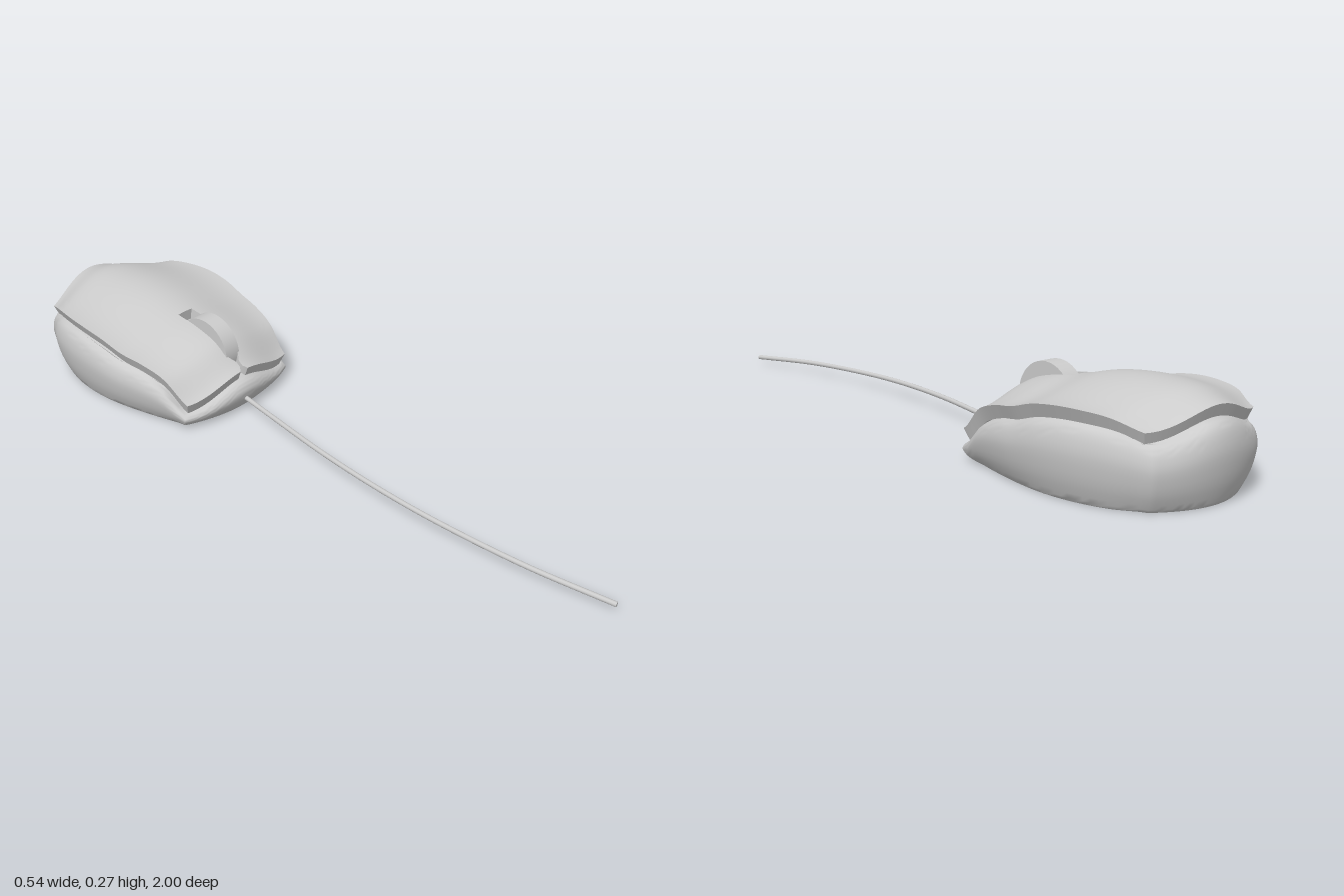
import * as THREE from 'three';
import { mergeGeometries, toCreasedNormals } from 'three/addons/utils/BufferGeometryUtils.js';

const material = new THREE.MeshStandardMaterial({ color: 0xcccccc });
const lerp = THREE.MathUtils.lerp;

// Smooth function of v (0 = front, 1 = rear) through evenly spaced values
function profile(values) {
  const curve = new THREE.SplineCurve(values.map((y, i) => new THREE.Vector2(i / (values.length - 1), y)));
  return v => curve.getPoint(v).y;
}

const ridge = profile([0.13, 0.195, 0.222, 0.235, 0.256, 0.266, 0.267, 0.26, 0.235]);
const bodyWidth = profile([0.207, 0.228, 0.247, 0.262, 0.271, 0.27, 0.258, 0.232, 0.185]);
const shellWidth = profile([0.2, 0.217, 0.232, 0.244, 0.25, 0.25, 0.241, 0.222, 0.19]);

// Bell-shaped cross-section that falls from the ridge to both sides
const height = (u, v) => ridge(v) - 0.0225 * (1 - Math.cos(Math.PI * u));
const bodyZ = (u, v) => lerp(-0.28 - 0.05 * u * u, -1 + 0.065 * u * u, v);
const shellZ = (u, v) => lerp(-0.295 - 0.03 * u * u, -0.965 + 0.05 * u * u, v);

const MID = -0.64;
const shrink = (p, sx, sz, dy) => [p[0] * sx, p[1] + dy, MID + (p[2] - MID) * sz];

function fromTriangles(positions) {
  const g = new THREE.BufferGeometry();
  g.setAttribute('position', new THREE.Float32BufferAttribute(positions, 3));
  return g;
}
const quad = (out, a, b, c, d) => out.push(...a, ...b, ...c, ...a, ...c, ...d);

// Lower body: rings of the outline stacked from the base to the rim, then closed under the shell
function bodyGeometry() {
  const border = [], n = 28;
  for (let i = 0; i < n; i++) border.push([1, i / n]);
  for (let i = 0; i < n; i++) border.push([1 - 2 * i / n, 1]);
  for (let i = 0; i < n; i++) border.push([-1, 1 - i / n]);
  for (let i = 0; i < n; i++) border.push([-1 + 2 * i / n, 0]);

  const ring = (t, inset) => border.map(([u, v]) => {
    const p = [u * bodyWidth(v), t * (height(u, v) - 0.03), bodyZ(u, v)];
    return shrink(p, 1 - inset / 0.27, 1 - inset / 0.36, 0);
  });
  const capRing = s => border.map(([u, v]) => {
    const cu = u * s, cv = 0.5 + (v - 0.5) * s;
    return [cu * bodyWidth(cv), height(cu, cv) - 0.045, bodyZ(cu, cv)];
  });

  const section = new THREE.SplineCurve([
    [0, 0.034], [0.05, 0.028], [0.3, 0.01], [0.6, 0], [0.8, 0.003], [0.93, 0.012], [1, 0.025],
  ].map(p => new THREE.Vector2(...p)));
  const rings = [border.map(() => [0, 0, MID])];
  for (const p of section.getPoints(18)) rings.push(ring(p.x, p.y));
  for (const s of [0.86, 0.6, 0.3, 0]) rings.push(capRing(s));

  const out = [];
  for (let k = 0; k < rings.length - 1; k++) {
    for (let i = 0; i < border.length; i++) {
      const j = (i + 1) % border.length;
      quad(out, rings[k][i], rings[k][j], rings[k + 1][j], rings[k + 1][i]);
    }
  }
  return toCreasedNormals(fromTriangles(out), 0.6);
}

// Closed slab of the shell between two edges, rows j0 to ROWS
const ROWS = 50;
function slab(xLow, xHigh, j0, columns) {
  const top = [], bottom = [], out = [];
  for (let i = 0; i <= columns; i++) {
    top.push([]);
    for (let j = j0; j <= ROWS; j++) {
      const v = j / ROWS, x = lerp(xLow(v), xHigh(v), i / columns), u = x / shellWidth(v);
      top[i].push([x, height(u, v), shellZ(u, v)]);
    }
    bottom.push(top[i].map(p => shrink(p, 0.935, 0.96, -0.035)));
  }
  const m = ROWS - j0;
  for (let i = 0; i < columns; i++) {
    for (let j = 0; j < m; j++) {
      quad(out, top[i][j], top[i + 1][j], top[i + 1][j + 1], top[i][j + 1]);
      quad(out, bottom[i][j + 1], bottom[i + 1][j + 1], bottom[i + 1][j], bottom[i][j]);
    }
  }
  const wall = (i, j, k, l) => quad(out, bottom[i][j], bottom[k][l], top[k][l], top[i][j]);
  for (let j = 0; j < m; j++) {
    wall(columns, j, columns, j + 1);
    wall(0, j + 1, 0, j);
  }
  for (let i = 0; i < columns; i++) {
    wall(i, 0, i + 1, 0);
    wall(i + 1, m, i, m);
  }
  return fromTriangles(out);
}

// Half-width of the wheel slot, pinched to a narrow split near the front edge
function slot(v) {
  const widths = [0.014, 0.005, 0.005, 0.016, 0.026];
  const k = Math.min(v * ROWS, 3.999), i = Math.floor(k);
  return lerp(widths[i], widths[i + 1], k - i);
}

function shellGeometry() {
  const parts = [
    slab(slot, shellWidth, 0, 20),
    slab(v => -shellWidth(v), v => -slot(v), 0, 20),
    slab(v => -slot(v), slot, 18, 4),
  ];
  return toCreasedNormals(mergeGeometries(parts), 0.6);
}

export function createModel() {
  const group = new THREE.Group();
  const add = (name, geometry) => {
    const mesh = new THREE.Mesh(geometry, material);
    mesh.name = name;
    group.add(mesh);
    return mesh;
  };

  add('lowerBody', bodyGeometry());
  add('topShell', shellGeometry());

  // Scroll wheel
  const wheel = add('scrollWheel', new THREE.CylinderGeometry(0.095, 0.095, 0.05, 40).rotateZ(Math.PI / 2));
  wheel.position.set(0, 0.155, -0.435);

  // Cable with a closed end
  const path = new THREE.CatmullRomCurve3([
    [0, 0.04, -0.31], [-0.032, 0.043, -0.15], [-0.075, 0.047, 0.08], [-0.1, 0.047, 0.3],
    [-0.106, 0.043, 0.5], [-0.091, 0.034, 0.76], [-0.05, 0.02, 0.998],
  ].map(p => new THREE.Vector3(...p)));
  add('cable', new THREE.TubeGeometry(path, 60, 0.007, 10));
  const end = add('cableEnd', new THREE.CircleGeometry(0.007, 10));
  end.position.copy(path.getPoint(1));
  end.lookAt(path.getPoint(1).add(path.getTangent(1)));

  return group;
}
